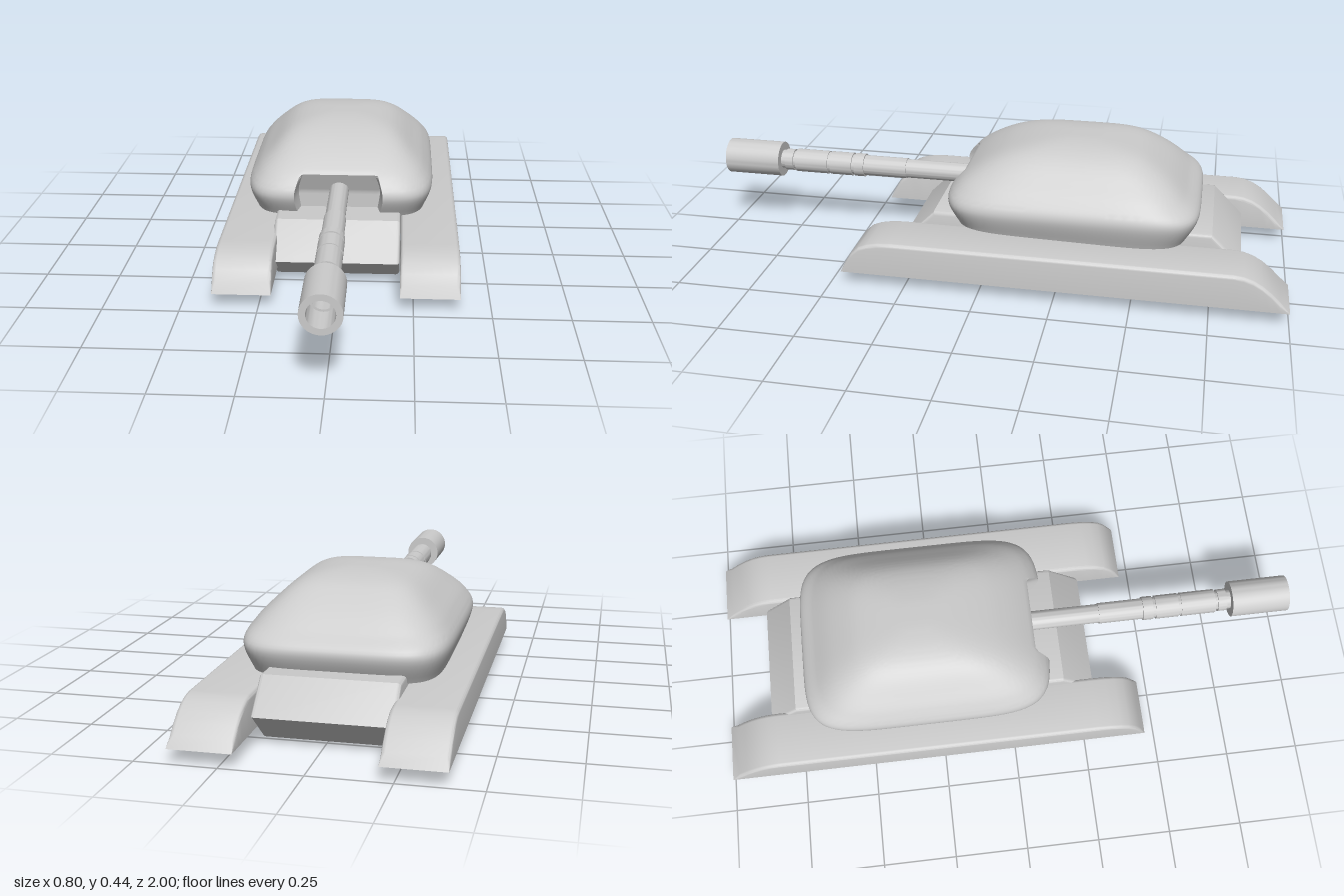
import * as THREE from 'three';
import { toCreasedNormals } from 'three/addons/utils/BufferGeometryUtils.js';

const material = new THREE.MeshStandardMaterial({ color: 0xcccccc });
const shellMaterial = new THREE.MeshStandardMaterial({ color: 0xcccccc, side: THREE.DoubleSide });
const CX = -0.008; // centre line of hull, turret and gun

function part(name, geometry, mat, crease = 0.6) {
  const mesh = new THREE.Mesh(toCreasedNormals(geometry, crease), mat);
  mesh.name = name;
  return mesh;
}

// Skins a list of cross-sections, each with the same number of [x, y, z] points
function loft(rows) {
  const n = rows[0].length, index = [];
  for (let i = 0; i < rows.length - 1; i++) {
    for (let j = 0; j < n - 1; j++) {
      const a = i * n + j, b = a + 1, d = a + n, c = d + 1;
      index.push(a, b, c, a, c, d);
    }
  }
  const g = new THREE.BufferGeometry();
  g.setAttribute('position', new THREE.Float32BufferAttribute(rows.flat(2), 3));
  g.setIndex(index);
  return g;
}

// Hull: six-sided side profile (z, y) extruded across the width
function createHull() {
  const profile = [[0.19, 0.2], [0.3, 0.09], [0.19, 0.002], [-0.735, 0.002], [-0.845, 0.1], [-0.745, 0.2]];
  const shape = new THREE.Shape(profile.map(([z, y]) => new THREE.Vector2(z, y)));
  const bevel = 0.012, width = 0.425;
  const g = new THREE.ExtrudeGeometry(shape, {
    depth: width - 2 * bevel, bevelSize: bevel, bevelThickness: bevel, bevelOffset: -bevel, bevelSegments: 3,
  });
  g.translate(0, 0, bevel - width / 2).rotateY(-Math.PI / 2).translate(CX, 0, 0);
  // Rest the hull exactly on the ground
  g.computeBoundingBox();
  g.translate(0, -g.boundingBox.min.y, 0);
  return part('hull', g, material);
}

// Track cover: shell open underneath, with curved ends and rounded long edges
function createTrackCover(name, x0, x1) {
  const base = 0.045;
  const front = [[0.463, base], [0.445, 0.083], [0.425, 0.115], [0.4, 0.138], [0.37, 0.15], [0.335, 0.157], [0.29, 0.16]];
  const back = [[-0.82, 0.16], [-0.85, 0.156], [-0.88, 0.146], [-0.91, 0.129], [-0.94, 0.105], [-0.97, 0.076], [-1, base]];
  const rows = [...front, ...back].map(([z, y]) => {
    const r = Math.min(0.013, y - base), row = [[x0, base, z]];
    for (let side = 0; side < 2; side++) {
      for (let k = 0; k <= 4; k++) {
        const a = (k / 4) * Math.PI / 2;
        row.push(side
          ? [x1 - r + r * Math.sin(a), y - r + r * Math.cos(a), z]
          : [x0 + r - r * Math.cos(a), y - r + r * Math.sin(a), z]);
      }
    }
    row.push([x1, base, z]);
    return row;
  });
  return part(name, loft(rows), shellMaterial, 0.5);
}

// Turret: stacked rounded rectangles with a recess for the gun in front
function createTurret() {
  // height, half width, front z, back z
  const rings = [
    [0.175, 0.3, 0.112, -0.665], [0.255, 0.325, 0.145, -0.702], [0.31, 0.298, 0.117, -0.65],
    [0.36, 0.25, 0.055, -0.595], [0.4, 0.205, -0.02, -0.535], [0.423, 0.165, -0.09, -0.485],
    [0.437, 0.115, -0.16, -0.42], [0.444, 0.055, -0.23, -0.35], [0.445, 0.001, -0.289, -0.291],
  ];
  const sides = new THREE.SplineCurve(rings.map((r) => new THREE.Vector2(r[0], r[1])));
  const ends = new THREE.SplineCurve(rings.map((r) => new THREE.Vector2(r[2], r[3])));
  const steps = 60, rowCount = 56;

  // Unit square outline, starting at the front left corner of the sheet
  const square = [];
  for (let s = 0; s < 4; s++) {
    for (let k = 0; k < steps; k++) {
      const t = -1 + (2 * k) / steps;
      square.push([[t, 1], [1, -t], [-t, -1], [-1, t]][s]);
    }
  }
  square.push(square[0]);

  const rows = [];
  for (let i = 0; i <= rowCount; i++) {
    const t = i / rowCount;
    const { x: y, y: halfWidth } = sides.getPoint(t);
    const { x: zf, y: zb } = ends.getPoint(t);
    const power = 5.5 - 1.7 * t;
    rows.push(square.map(([u, v]) => {
      const k = 1 / Math.pow(Math.abs(u) ** power + Math.abs(v) ** power, 1 / power);
      let z = (zf + zb) / 2 + (k * v * (zf - zb)) / 2;
      // Gun recess: overhanging upper face above an upright lower face
      if (v === 1 && Math.abs(u) < 0.44 && y < 0.33) {
        z = Math.min(z, 0.07 + 0.03 * Math.max(0, (y - 0.255) / 0.075));
      }
      // The underside rises slightly towards the front
      const tilt = 0.018 * (z + 0.28) * Math.max(0, 1 - (y - 0.175) / 0.08);
      return [CX + k * u * halfWidth, y + tilt, z];
    }));
  }
  rows.unshift(square.map(() => [CX, 0.175, -0.28])); // closes the underside
  return part('turret', loft(rows), shellMaterial, 0.55);
}

// Gun: one turned profile of radius and distance, with sleeves and a hollow muzzle
function createGun() {
  const profile = [
    [0, 0.05], [0.033, 0.05], [0.033, 0.335], [0.036, 0.335], [0.036, 0.49],
    [0.041, 0.49], [0.041, 0.525], [0.036, 0.525], [0.036, 0.535], [0.041, 0.535], [0.041, 0.615],
    [0.038, 0.615], [0.038, 0.625], [0.041, 0.625], [0.041, 0.745],
    [0.033, 0.745], [0.033, 0.755], [0.038, 0.755], [0.038, 0.785], [0.033, 0.785], [0.033, 0.8],
    [0.062, 0.8], [0.062, 1], [0.042, 1], [0.042, 0.9], [0.035, 0.9], [0.035, 0.82], [0, 0.82],
  ];
  const g = new THREE.LatheGeometry(profile.map(([r, z]) => new THREE.Vector2(r, z)), 40);
  g.rotateX(Math.PI / 2).translate(CX, 0.26, 0);
  return part('gunBarrel', g, shellMaterial);
}

export function createModel() {
  const model = new THREE.Group();
  model.name = 'tank';
  model.add(
    createHull(),
    createTrackCover('rightTrackCover', -0.4, -0.208),
    createTrackCover('leftTrackCover', 0.206, 0.4),
    createTurret(),
    createGun(),
  );
  return model;
}
